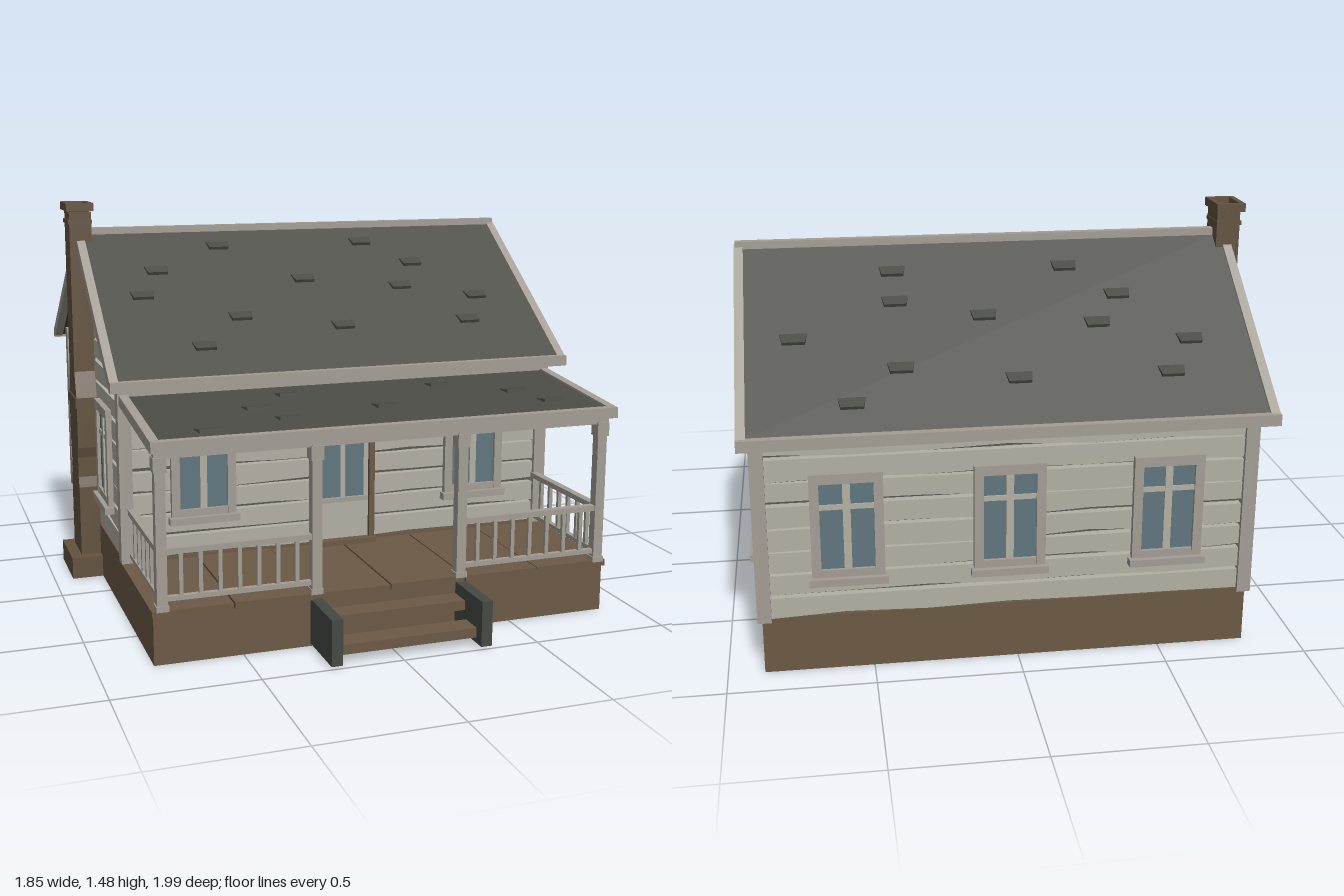
import * as THREE from 'three';

const mat = (name, color) => Object.assign(new THREE.MeshStandardMaterial({ color }), { name });
const M = {
  siding: mat('pale siding', 0xb3afa4),
  trim: mat('weathered trim', 0xa39d94),
  roof: mat('dark roof', 0x4a4c45),
  wood: mat('brown timber', 0x6c5a45),
  brick: mat('chimney brown', 0x645340),
  under: mat('dark underfloor', 0x5c4c3d),
  glass: mat('window glass', 0x60767f),
  stringer: mat('stair side', 0x454a43),
};

let seed = 7;
const rnd = () => (seed = (seed * 16807) % 2147483647) / 2147483647;

function add(parent, name, geo, material, x = 0, y = 0, z = 0) {
  const m = new THREE.Mesh(geo, material);
  m.name = name;
  m.position.set(x, y, z);
  parent.add(m);
  return m;
}
// Box given by its min and max along each axis
const box = (p, name, material, x0, x1, y0, y1, z0, z1) =>
  add(p, name, new THREE.BoxGeometry(x1 - x0, y1 - y0, z1 - z0), material, (x0 + x1) / 2, (y0 + y1) / 2, (z0 + z1) / 2);

function group(parent, name, x = 0, y = 0, z = 0, ry = 0) {
  const g = new THREE.Group();
  g.name = name;
  g.position.set(x, y, z);
  g.rotation.y = ry;
  parent.add(g);
  return g;
}
const extrude = (pts, depth) =>
  new THREE.ExtrudeGeometry(new THREE.Shape(pts.map(p => new THREE.Vector2(...p))), { depth, bevelEnabled: false });

const CX = 0.035, CZ = -0.305, HX = 0.83, HZ = 0.575, SLOPE = 0.715, GABLE = 1.322;

// Weathered horizontal boards: uneven lower edges, undersides sloping back to the board below
function boards(wall, halfWidth, top) {
  const hw = y => Math.max(0.004, Math.min(halfWidth, (top.apex - y) / SLOPE));
  const pitch = 0.083;
  for (let y = 0.2; y < top.y - 0.02; y += pitch) {
    const y1 = Math.min(y + pitch, top.y), w0 = hw(y), w1 = hw(y1), pts = [];
    for (let i = 0; i <= 6; i++) pts.push([-w0 + (w0 * i) / 3, y + 0.003 + rnd() * 0.018]);
    pts.push([w1, y1], [-w1, y1]);
    const geo = extrude(pts, 0.03), pos = geo.attributes.position;
    for (let i = 0; i < pos.count; i++) if (pos.getZ(i) < 0.001 && pos.getY(i) < y + 0.022) pos.setY(i, y - 0.001);
    geo.computeVertexNormals();
    add(wall, 'sidingBoard', geo, M.siding, 0, 0, -0.018);
  }
}

function windowUnit(wall, x) {
  const g = group(wall, 'window', x, 0, 0.01);
  box(g, 'glass', M.glass, -0.1, 0.1, 0.37, 0.71, 0, 0.009);
  for (const s of [-1, 1]) box(g, 'sideCasing', M.trim, s * 0.106 - 0.016, s * 0.106 + 0.016, 0.36, 0.7, 0, 0.022);
  box(g, 'headCasing', M.trim, -0.122, 0.122, 0.695, 0.73, 0, 0.024);
  box(g, 'lowerCasing', M.trim, -0.122, 0.122, 0.355, 0.385, 0, 0.02);
  box(g, 'sill', M.trim, -0.132, 0.132, 0.332, 0.358, 0, 0.038);
  box(g, 'mullion', M.siding, -0.013, 0.013, 0.385, 0.695, 0, 0.016);
  box(g, 'crossBar', M.siding, -0.09, 0.09, 0.6, 0.618, 0, 0.014);
}

function door(wall) {
  const g = group(wall, 'door', 0, 0, 0.01);
  box(g, 'doorLeaf', M.siding, -0.11, 0.11, 0.21, 0.7, 0, 0.01);
  for (const s of [-1, 1]) {
    box(g, 'doorFrame', M.wood, s * 0.114 - 0.011, s * 0.114 + 0.011, 0.2, 0.71, 0, 0.024);
    box(g, 'doorGlass', M.glass, s * 0.047 - 0.036, s * 0.047 + 0.036, 0.378, 0.597, 0.008, 0.014);
    box(g, 'doorGlass', M.glass, s * 0.047 - 0.036, s * 0.047 + 0.036, 0.615, 0.695, 0.008, 0.014);
  }
  box(g, 'doorHead', M.wood, -0.125, 0.125, 0.7, 0.716, 0, 0.025);
  box(g, 'doorStep', M.wood, -0.125, 0.125, 0.195, 0.215, 0, 0.045);
  box(g, 'doorRail', M.trim, -0.1, 0.1, 0.358, 0.375, 0.008, 0.018);
}

// Hollow base with open underside
function baseRing(p, name, x0, x1, z0, z1, h, inset) {
  const g = group(p, name), t = 0.02;
  box(g, 'baseWall', M.wood, x0, x1, 0, h, z1 - t, z1);
  box(g, 'baseWall', M.wood, x0, x1, 0, h, z0, z0 + t);
  box(g, 'baseWall', M.wood, x0, x0 + t, 0, h, z0 + t, z1 - t);
  box(g, 'baseWall', M.wood, x1 - t, x1, 0, h, z0 + t, z1 - t);
  const f = t + inset;
  box(g, 'baseFloor', M.under, x0 + f, x1 - f, h - 0.015, h - 0.002, z0 + f, z1 - f);
  if (inset) box(g, 'sillPlate', M.siding, x0 + t, x1 - t, h - 0.012, h - 0.004, z0 + t, z1 - t);
}

// Sloping roof panel: inside the slope group z runs downhill, top face at y = 0
function roofPanel(p, halfW, run, angle, tabs) {
  const g = group(p, 'roofSlope'), len = run / Math.cos(angle), drop = run * Math.tan(angle);
  g.rotation.x = angle;
  box(g, 'roofSheet', M.roof, -halfW, halfW, -0.026, 0, 0, len);
  for (const s of [-1, 1]) box(g, 'bargeBoard', M.trim, s * halfW - 0.016, s * halfW + 0.016, -0.032, 0.007, 0, len);
  for (const [x, d] of tabs) {
    const tab = extrude([[-0.046, -0.022], [0.046, -0.022], [0.038, 0.022], [-0.038, 0.022]], 0.012).rotateX(Math.PI / 2);
    add(g, 'raisedShingle', tab, M.roof, x, 0.008, d / Math.cos(angle)).rotation.x = -0.2;
  }
  box(p, 'eaveFascia', M.trim, -halfW - 0.016, halfW + 0.016, -drop - 0.033, -drop + 0.006, run - 0.012, run + 0.02);
}

function railing(p, len, n, x, z, ry) {
  const g = group(p, 'railing', x, 0, z, ry);
  box(g, 'topRail', M.trim, 0, len, 0.385, 0.405, -0.014, 0.014);
  box(g, 'bottomRail', M.trim, 0, len, 0.222, 0.238, -0.01, 0.01);
  for (let i = 1; i <= n; i++) {
    const b = (len * i) / (n + 1);
    box(g, 'baluster', M.trim, b - 0.007, b + 0.007, 0.235, 0.388, -0.007, 0.007);
  }
}

export function createModel() {
  const house = new THREE.Group();
  house.name = 'cottage';

  // Foundations
  baseRing(house, 'houseFoundation', -0.81, 0.875, -0.88, 0.27, 0.205, 0.035);
  baseRing(house, 'porchFoundation', -0.81, 0.875, 0.27, 0.78, 0.172, 0);

  // Wall core with gable, just behind the boards
  const cz = HZ - 0.014, cx = HX - 0.014;
  const core = extrude([[-cz, 0.2], [cz, 0.2], [cz, 0.89], [0, GABLE - 0.01], [-cz, 0.89]], cx * 2).rotateY(Math.PI / 2);
  add(house, 'wallCore', core, M.siding, CX - cx, 0, CZ);

  // Four clad walls
  const walls = [
    ['frontWall', CX, CZ + HZ, 0, HX, [-0.545, 0.54]],
    ['backWall', CX, CZ - HZ, Math.PI, HX, [-0.545, 0, 0.545]],
    ['leftWall', CX + HX, CZ, Math.PI / 2, HZ, [-0.27, 0.27]],
    ['rightWall', CX - HX, CZ, -Math.PI / 2, HZ, [-0.27, 0.27]],
  ];
  for (const [name, x, z, ry, half, wins] of walls) {
    const wall = group(house, name, x, 0, z, ry), gable = half === HZ;
    boards(wall, half, { y: gable ? 1.31 : 0.89, apex: gable ? GABLE : 9 });
    wins.forEach(w => windowUnit(wall, w));
    if (name === 'frontWall') door(wall);
  }
  for (const sx of [-1, 1]) for (const sz of [-1, 1]) {
    const x = CX + sx * 0.832, z = CZ + sz * 0.577;
    box(house, 'cornerBoard', M.trim, x - 0.024, x + 0.024, 0.2, 0.9, z - 0.024, z + 0.024);
  }

  // Main roof, tabs given as x and distance from the ridge
  const frontTabs = [[-0.31, 0.085], [0.29, 0.085], [-0.58, 0.195], [0.47, 0.195], [-0.01, 0.255], [-0.66, 0.305],
    [0.38, 0.305], [0.68, 0.365], [-0.31, 0.415], [0.08, 0.475], [0.6, 0.475], [-0.48, 0.535]];
  const backTabs = [[-0.53, 0.505], [-0.01, 0.505], [0.55, 0.565], [0.38, 0.455], [-0.62, 0.395], [-0.31, 0.325],
    [0.73, 0.345], [0.08, 0.285], [-0.4, 0.225], [0.38, 0.225], [-0.23, 0.115], [0.38, 0.115]];
  const angle = Math.atan(SLOPE);
  const rx = 0.032, local = (tabs, s) => tabs.map(([x, d]) => [s * (x - rx), d]);
  roofPanel(group(house, 'frontRoof', rx, 1.36, CZ), 0.876, 0.667, angle, local(frontTabs, 1));
  roofPanel(group(house, 'backRoof', rx, 1.36, CZ, Math.PI), 0.876, 0.667, angle, local(backTabs, -1));
  box(house, 'ridgeCap', M.trim, -0.83, 0.92, 1.35, 1.376, CZ - 0.015, CZ + 0.015);

  // Porch roof, beams and ledger
  const porchTabs = [[-0.22, 0.13], [0.37, 0.13], [-0.38, 0.26], [0.62, 0.26], [0.08, 0.33], [-0.3, 0.39], [0.7, 0.4], [-0.6, 0.46]];
  roofPanel(group(house, 'porchRoof', 0.035, 0.824, 0.27), 0.835, 0.54, 0.098, local(porchTabs, 1));
  box(house, 'porchBeam', M.trim, -0.8, 0.875, 0.71, 0.742, 0.76, 0.79);
  box(house, 'ledger', M.trim, -0.82, 0.89, 0.815, 0.846, 0.27, 0.3);

  // Porch deck planks
  for (let i = 0; i < 6; i++) {
    const x = -0.815 + i * 0.284;
    box(house, 'deckPlank', M.wood, x, x + 0.28, 0.17, 0.19 + rnd() * 0.005, 0.27, 0.785 + rnd() * 0.012);
  }

  // Posts and railings
  const postX = [-0.78, -0.24, 0.3, 0.85], pz = 0.775;
  for (const x of postX) {
    const post = group(house, 'porchPost', x, 0, pz);
    box(post, 'shaft', M.trim, -0.018, 0.018, 0.19, 0.72, -0.018, 0.018);
    box(post, 'capital', M.trim, -0.023, 0.023, 0.665, 0.715, -0.023, 0.023);
    box(post, 'foot', M.trim, -0.022, 0.022, 0.19, 0.21, -0.022, 0.022);
  }
  railing(house, 0.54, 7, postX[0], pz, 0);
  railing(house, 0.55, 7, postX[2], pz, 0);
  for (const x of [postX[0], postX[3]]) railing(house, 0.49, 6, x, pz, Math.PI / 2);

  // Open steps between solid sides
  const steps = group(house, 'steps');
  for (const x of [-0.24, 0.305]) box(steps, 'stepSide', M.stringer, x - 0.02, x + 0.02, 0.01, 0.172, 0.78, 1);
  box(steps, 'upperTread', M.wood, -0.222, 0.287, 0.095, 0.13, 0.78, 0.862);
  box(steps, 'lowerTread', M.wood, -0.222, 0.287, 0.03, 0.065, 0.874, 0.96);

  // Chimney: footing, broad stack with uneven courses, shoulder, flue and cap
  const ch = group(house, 'chimney', 0, 0, -0.31);
  box(ch, 'footing', M.brick, -0.93, -0.79, 0, 0.083, -0.13, 0.13);
  const side = [[0.09, 0.08], [0.09, 0.36], [0.078, 0.4], [0.078, 0.48], [0.09, 0.52], [0.09, 0.72], [0.058, 0.82], [0.058, 1.44]];
  const stack = extrude([...side, ...side.map(([u, y]) => [-u, y]).reverse()], 0.085).rotateY(Math.PI / 2);
  add(ch, 'stack', stack, M.brick, -0.887);
  box(ch, 'shoulderCourse', M.brick, -0.892, -0.802, 0.68, 0.72, -0.095, 0.095);
  box(ch, 'collar', M.brick, -0.892, -0.8, 1.395, 1.41, -0.062, 0.062);
  const rim = 0.02;
  for (const s of [-1, 1]) {
    box(ch, 'capSide', M.brick, -0.9, -0.795, 1.445, 1.475, s * 0.066 - rim / 2, s * 0.066 + rim / 2);
    box(ch, 'capEnd', M.brick, -0.8475 + s * 0.0425 - rim / 2, -0.8475 + s * 0.0425 + rim / 2, 1.445, 1.475, -0.056, 0.056);
  }
  box(ch, 'flueOpening', M.stringer, -0.88, -0.815, 1.44, 1.452, -0.056, 0.056);
  return house;
}
